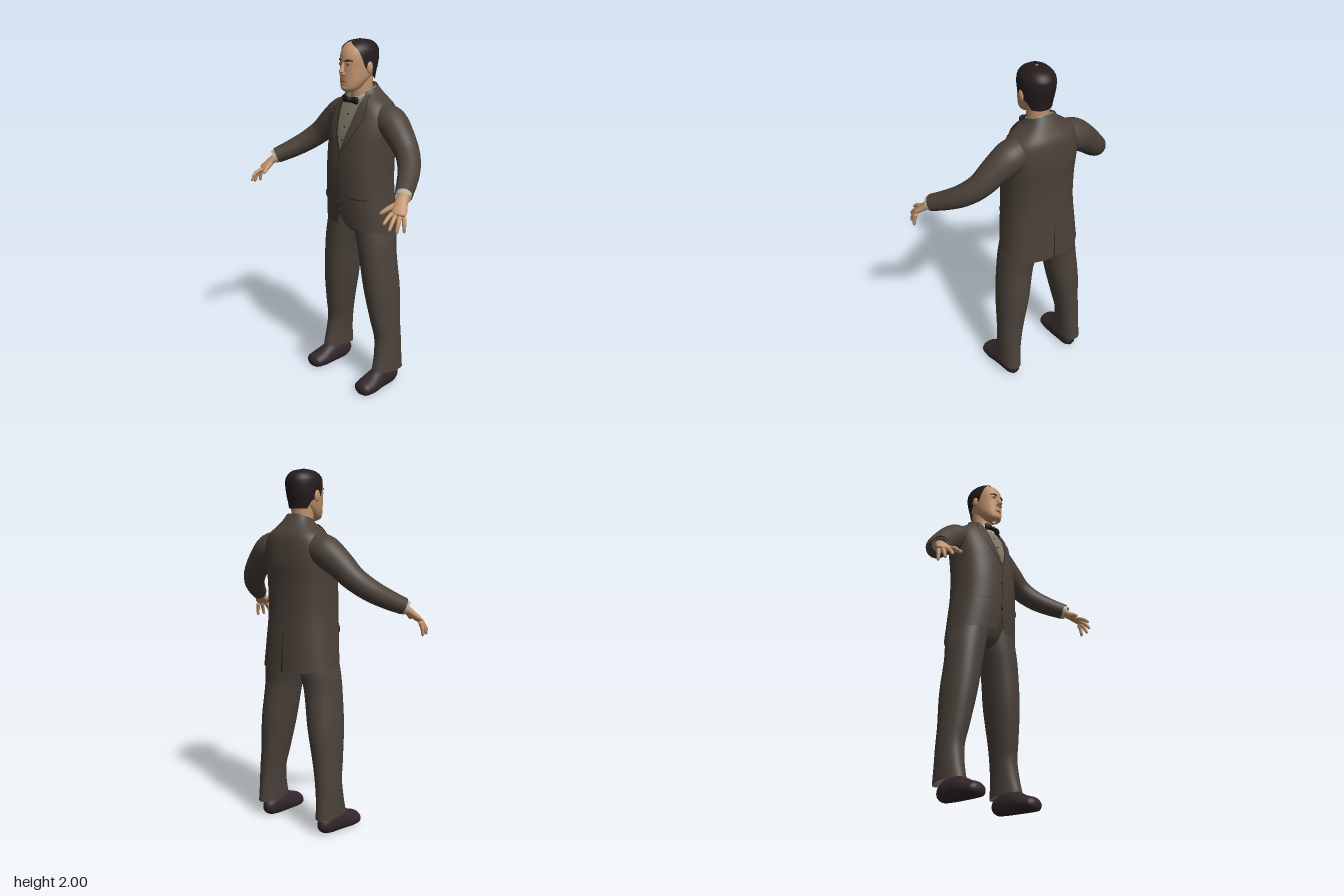
import * as THREE from 'three';
import { mergeVertices } from 'three/addons/utils/BufferGeometryUtils.js';

const paint = (name, color, side = THREE.DoubleSide) => {
  const m = new THREE.MeshStandardMaterial({ color, side });
  m.name = name;
  return m;
};
const MAT = {
  jacket: paint('jacket cloth', 0x4b4139),
  trousers: paint('trouser cloth', 0x4b423b),
  seam: paint('dark seam', 0x29221f),
  shirt: paint('shirt', 0x7d7a66),
  cuff: paint('collar linen', 0xb3ad9c),
  skin: paint('skin', 0xc2946f),
  lips: paint('lips', 0x94614c),
  hair: paint('hair', 0x251b1d),
  shoe: paint('shoe leather', 0x32262a),
  tie: paint('black silk', 0x1c1819),
};
const DEG = Math.PI / 180;

// Smooth surface from fn(u, v) -> [x, y, z]
function grid(nu, nv, fn) {
  const pos = [], idx = [];
  for (let j = 0; j <= nv; j++) for (let i = 0; i <= nu; i++) pos.push(...fn(i / nu, j / nv));
  for (let j = 0; j < nv; j++) for (let i = 0; i < nu; i++) {
    const a = j * (nu + 1) + i, b = a + nu + 1;
    idx.push(a, a + 1, b + 1, a, b + 1, b);
  }
  const g = new THREE.BufferGeometry();
  g.setAttribute('position', new THREE.Float32BufferAttribute(pos, 3));
  g.setIndex(idx);
  const merged = mergeVertices(g, 1e-5);
  merged.computeVertexNormals();
  return merged;
}

// Smooth interpolation of a table whose first column is the key
function sample(rows, y) {
  let k = 0;
  while (k < rows.length - 2 && y > rows[k + 1][0]) k++;
  const a = rows[k], b = rows[k + 1], h = b[0] - a[0], t = (y - a[0]) / h;
  const slope = (n, c) => {
    const p = rows[Math.max(n - 1, 0)], q = rows[Math.min(n + 1, rows.length - 1)];
    return ((q[c] || 0) - (p[c] || 0)) / (q[0] - p[0]);
  };
  return [0, 1, 2, 3, 4, 5, 6].map((c) => {
    const t2 = t * t, t3 = t2 * t;
    return (2 * t3 - 3 * t2 + 1) * (a[c] || 0) + (t3 - 2 * t2 + t) * h * slope(k, c)
      + (3 * t2 - 2 * t3) * (b[c] || 0) + (t3 - t2) * h * slope(k + 1, c);
  });
}

// Rows: [y, half width, front z, back z, front opening in degrees, centre x, tilt]
const pow = (v, e) => Math.sign(v) * Math.abs(v) ** e;
function surfacePoint(rows, p, y, a, grow = 0) {
  const [, rx, zf, zb, , cx, tilt] = sample(rows, y);
  return [cx + (rx + grow) * pow(Math.sin(a), 2 / p), y + tilt * Math.cos(a),
    (zf + zb) / 2 + ((zf - zb) / 2 + grow) * pow(Math.cos(a), 2 / p)];
}
function body(rows, p, nv = 36, grow = 0) {
  const y0 = rows[0][0], y1 = rows[rows.length - 1][0];
  return grid(48, nv, (u, v) => {
    const y = y0 + (y1 - y0) * v, a0 = Math.max(0, sample(rows, y)[4]) * DEG;
    return surfacePoint(rows, p, y, a0 + (2 * Math.PI - 2 * a0) * u, grow);
  });
}
// Thin panel laid on a body; strip rows are [y, x from, x to]
function panel(rows, p, strip, lift, back = false) {
  const y0 = strip[0][0], y1 = strip[strip.length - 1][0];
  return grid(6, 24, (u, v) => {
    const y = y0 + (y1 - y0) * v;
    let k = 0;
    while (k < strip.length - 2 && y > strip[k + 1][0]) k++;
    const s = strip[k], e = strip[k + 1], t = (y - s[0]) / (e[0] - s[0]);
    const xs = [1, 2].map((c) => s[c] + (e[c] - s[c]) * t).sort((m, n) => (back ? n - m : m - n));
    const x = xs[0] + (xs[1] - xs[0]) * u, r = sample(rows, y)[1];
    const a = Math.asin(Math.max(-1, Math.min(1, pow(x / r, p / 2))));
    return surfacePoint(rows, p, y, back ? Math.PI - a : a, lift);
  });
}
// Limb along points [x, y, z, radius, height radius]; ends 0 open, 1 tip rounded, 2 both
function limb(pts, ends = 1, nu = 16, nv = 24) {
  const curve = new THREE.CatmullRomCurve3(pts.map((q) => new THREE.Vector3(...q.slice(0, 3))));
  const up = new THREE.Vector3(0, 1, 0), n = pts.length - 1;
  return grid(nu, nv, (u, v) => {
    const k = Math.min(n - 1, Math.floor(v * n)), t = v * n - k, mix = THREE.MathUtils.lerp;
    const T = curve.getTangent(v), B = T.clone().cross(up).normalize(), N = B.clone().cross(T);
    const tip = Math.max(0, ends > 0 ? (v - 0.82) / 0.18 : 0, ends > 1 ? (0.15 - v) / 0.15 : 0);
    const round = Math.sqrt(Math.max(0, 1 - tip * tip));
    const rb = mix(pts[k][3], pts[k + 1][3], t) * round;
    const rn = mix(pts[k][4] ?? pts[k][3], pts[k + 1][4] ?? pts[k + 1][3], t) * round;
    const q = curve.getPoint(v).addScaledVector(N, rn * Math.cos(u * 2 * Math.PI))
      .addScaledVector(B, rb * Math.sin(u * 2 * Math.PI));
    return [q.x, Math.max(0, q.y), q.z];
  });
}

const JACKET = [
  [0.94, 0.228, 0.05, -0.265, 6, 0, 0.035], [1.07, 0.214, 0.063, -0.258, 0, 0, 0.012],
  [1.2, 0.202, 0.07, -0.25], [1.3, 0.2, 0.07, -0.25], [1.395, 0.2, 0.062, -0.254],
  [1.5, 0.204, 0.045, -0.262, 8], [1.6, 0.197, 0.01, -0.258, 14], [1.65, 0.172, -0.012, -0.247, 19],
  [1.685, 0.13, -0.03, -0.225, 31], [1.712, 0.092, -0.042, -0.2, 44, 0, -0.012],
  [1.735, 0.077, -0.05, -0.175, 52, 0, -0.025]];
const HEAD = [
  [1.718, 0.012, 0.015, -0.01], [1.732, 0.042, 0.033, -0.05], [1.76, 0.061, 0.037, -0.09],
  [1.8, 0.074, 0.036, -0.14], [1.85, 0.081, 0.036, -0.172], [1.9, 0.085, 0.036, -0.187],
  [1.94, 0.082, 0.024, -0.186], [1.97, 0.066, 0, -0.168], [1.988, 0.04, -0.035, -0.135], [1.996, 0.002, -0.08, -0.085]];
const HAIR = [
  [1.785, 0.072, 0.03, -0.165, 125], [1.83, 0.081, 0.036, -0.172, 108], [1.845, 0.083, 0.036, -0.177, 82],
  [1.9, 0.086, 0.036, -0.188, 66], [1.94, 0.083, 0.024, -0.187, 52], [1.96, 0.074, 0.012, -0.177, 40],
  [1.975, 0.061, -0.006, -0.163, 22], [1.988, 0.041, -0.034, -0.136, 0], [1.996, 0.002, -0.08, -0.085, 0]];

export function createModel() {
  const model = new THREE.Group();
  const add = (name, geometry, material, x = 0, y = 0, z = 0) => {
    const m = new THREE.Mesh(geometry, material);
    m.name = name;
    m.position.set(x, y, z);
    model.add(m);
    return m;
  };
  const ball = (name, mat, p, s) => add(name, new THREE.SphereGeometry(1, 18, 12), mat, ...p).scale.set(...s);
  const disc = (name, mat, r, p) => { add(name, new THREE.CylinderGeometry(r, r, 0.006, 14), mat, ...p).rotation.x = Math.PI / 2; };

  // Jacket body and the shirt inside it
  add('jacket', body(JACKET, 2.4, 60), MAT.jacket);
  add('shirtFront', body(JACKET.slice(3).map((r) => [r[0], r[1] - 0.008, r[2] - 0.01, r[3] + 0.012, 0, 0, r[6]]), 2.4, 30), MAT.shirt);
  add('frontSeam', panel(JACKET, 2.4, [[1.06, -0.018, -0.014], [1.39, -0.002, 0.002]], 0.003), MAT.seam);
  add('backVent', panel(JACKET, 2.4, [[0.942, -0.004, 0.006], [1.13, -0.001, 0.002]], 0.003, true), MAT.seam);
  for (const y of [1.27, 1.11]) {
    disc('jacketButtonRim', MAT.seam, 0.011, [-0.008, y, 0.071]);
    disc('jacketButton', MAT.jacket, 0.008, [-0.008, y, 0.073]);
  }
  for (const y of [1.46, 1.53, 1.6]) disc('shirtButton', MAT.seam, 0.004, [0, y, sample(JACKET, y)[2] - 0.008]);

  // Collar and bow tie
  add('neck', body([[1.62, 0.062, -0.035, -0.17], [1.7, 0.058, -0.036, -0.155], [1.8, 0.06, -0.03, -0.16]], 2), MAT.skin);
  add('shirtCollar', body([[1.675, 0.073, -0.022, -0.175, 4, 0, -0.025], [1.722, 0.066, -0.026, -0.163, 10, 0, -0.03]], 2, 6), MAT.cuff);
  ball('bowKnot', MAT.tie, [0, 1.675, -0.006], [0.014, 0.015, 0.014]);

  // Head
  add('head', body(HEAD, 2.1, 48), MAT.skin);
  add('hair', body(HAIR, 2.1, 48, 0.005), MAT.hair);
  add('nose', limb([[0, 1.885, 0.026, 0.009], [0, 1.85, 0.042, 0.011], [0, 1.822, 0.05, 0.017]], 2), MAT.skin);
  add('mouth', limb([[-0.027, 1.778, 0.028, 0.004], [0, 1.782, 0.037, 0.006], [0.027, 1.778, 0.028, 0.004]], 2), MAT.lips);
  ball('chin', MAT.skin, [0, 1.745, 0.022], [0.028, 0.018, 0.018]);

  for (const s of [1, -1]) {
    const flip = (pts) => pts.map(([x, ...r]) => [x * s, ...r]);
    const part = (name, pts, mat, ends, nu, nv) => add(name, limb(flip(pts), ends, nu, nv), mat);

    // Face features
    ball('eye', MAT.cuff, [s * 0.032, 1.867, 0.026], [0.014, 0.006, 0.006]);
    ball('iris', MAT.hair, [s * 0.032, 1.867, 0.03], [0.005, 0.005, 0.004]);
    part('eyelid', [[0.016, 1.87, 0.031, 0.003], [0.032, 1.875, 0.03, 0.004], [0.048, 1.869, 0.02, 0.003]], MAT.lips, 2);
    part('eyebrow', [[0.012, 1.886, 0.036, 0.004], [0.034, 1.893, 0.03, 0.005], [0.056, 1.887, 0.014, 0.003]], MAT.hair, 2);
    ball('nostril', MAT.skin, [s * 0.012, 1.82, 0.042], [0.008, 0.008, 0.012]);
    ball('ear', MAT.skin, [s * 0.088, 1.853, -0.075], [0.011, 0.032, 0.02]);

    // Lapel, collar fall and pocket, each with a dark edge beneath
    const edge = (y) => { const r = sample(JACKET, y); return r[1] * pow(Math.sin(Math.max(0, r[4]) * DEG), 2 / 2.4); };
    const lapel = [[1.39, 0.004], [1.46, 0.06], [1.54, 0.1], [1.605, 0.125], [1.61, 0.085]];
    const fall = [[1.61, 0.085], [1.614, 0.115], [1.65, 0.112], [1.685, 0.095], [1.712, 0.08]];
    const strip = (rows, w) => rows.map(([y, x]) => [y, s * edge(y), s * (x + w)]);
    for (const [name, rows] of [['lapel', lapel], ['jacketCollar', fall]]) {
      add(name, panel(JACKET, 2.4, strip(rows, 0), 0.008), MAT.jacket);
      add(name + 'Edge', panel(JACKET, 2.4, strip(rows, 0.003), 0.004), MAT.seam);
    }
    add('pocketFlap', panel(JACKET, 2.4, [[1.105, s * 0.085, s * 0.168], [1.14, s * 0.085, s * 0.168]], 0.006), MAT.jacket);
    add('pocketEdge', panel(JACKET, 2.4, [[1.14, s * 0.085, s * 0.168], [1.146, s * 0.085, s * 0.168]], 0.005), MAT.seam);
    part('bowWing', [[0.004, 1.675, -0.008, 0.008, 0.01], [0.03, 1.676, -0.01, 0.011, 0.019], [0.06, 1.675, -0.018, 0.011, 0.023]], MAT.tie, 1);

    // Sleeve and hand
    part('sleeve', [[0.11, 1.585, -0.13, 0.085], [0.2, 1.562, -0.135, 0.088], [0.28, 1.505, -0.122, 0.077],
      [0.36, 1.43, -0.1, 0.066], [0.43, 1.367, -0.045, 0.06], [0.49, 1.317, 0.03, 0.053], [0.54, 1.28, 0.1, 0.046]], MAT.jacket, 0, 28, 48);
    part('shirtCuff', [[0.525, 1.29, 0.08, 0.04], [0.549, 1.27, 0.113, 0.04]], MAT.cuff, 0, 24, 4);
    part('palm', [[0.525, 1.29, 0.08, 0.03, 0.026], [0.555, 1.25, 0.13, 0.034, 0.022], [0.58, 1.215, 0.167, 0.04, 0.017],
      [0.588, 1.198, 0.183, 0.036, 0.013]], MAT.skin);
    const fingers = [[0.555, 1.212, 0.187, 0.568, 1.165, 0.265], [0.574, 1.205, 0.183, 0.595, 1.135, 0.252],
      [0.592, 1.202, 0.172, 0.614, 1.12, 0.217], [0.606, 1.2, 0.157, 0.621, 1.117, 0.17]];
    for (const [x, y, z, X, Y, Z] of fingers)
      part('finger', [[x, y, z, 0.012], [(x + X) / 2 + 0.003, (y + Y) / 2 + 0.006, (z + Z) / 2 + 0.003, 0.011], [X, Y, Z, 0.008]], MAT.skin, 2, 10, 14);
    part('thumb', [[0.545, 1.245, 0.135, 0.018], [0.52, 1.223, 0.185, 0.014], [0.5, 1.197, 0.228, 0.009]], MAT.skin, 2, 10, 14);

    // Trouser leg and shoe
    add('trouserLeg', body([
      [0.1, 0.058, -0.004, -0.217, 0, s * 0.222, 0.01], [0.2, 0.06, -0.025, -0.208, 0, s * 0.219],
      [0.3, 0.064, -0.035, -0.205, 0, s * 0.212], [0.4, 0.071, -0.018, -0.205, 0, s * 0.2],
      [0.6, 0.087, 0.01, -0.214, 0, s * 0.176], [0.8, 0.096, 0.02, -0.205, 0, s * 0.149],
      [0.9, 0.104, 0.022, -0.216, 0, s * 0.13], [1.04, 0.105, 0.02, -0.23, 0, s * 0.1]], 2.2, 40), MAT.trousers);
    part('shoe', [[0.212, 0.04, -0.197, 0.04, 0.045], [0.213, 0.052, -0.12, 0.046, 0.066], [0.215, 0.05, -0.04, 0.054, 0.07],
      [0.22, 0.036, 0.03, 0.064, 0.052], [0.222, 0.03, 0.08, 0.06, 0.042], [0.222, 0.028, 0.116, 0.05, 0.032]], MAT.shoe, 2, 28, 36);
  }
  // Seat between the legs
  add('trouserSeat', body([[0.9, 0.02, -0.06, -0.14], [0.94, 0.08, -0.01, -0.2], [1.05, 0.18, 0.03, -0.225]], 2.2, 12), MAT.trousers);
  return model;
}
